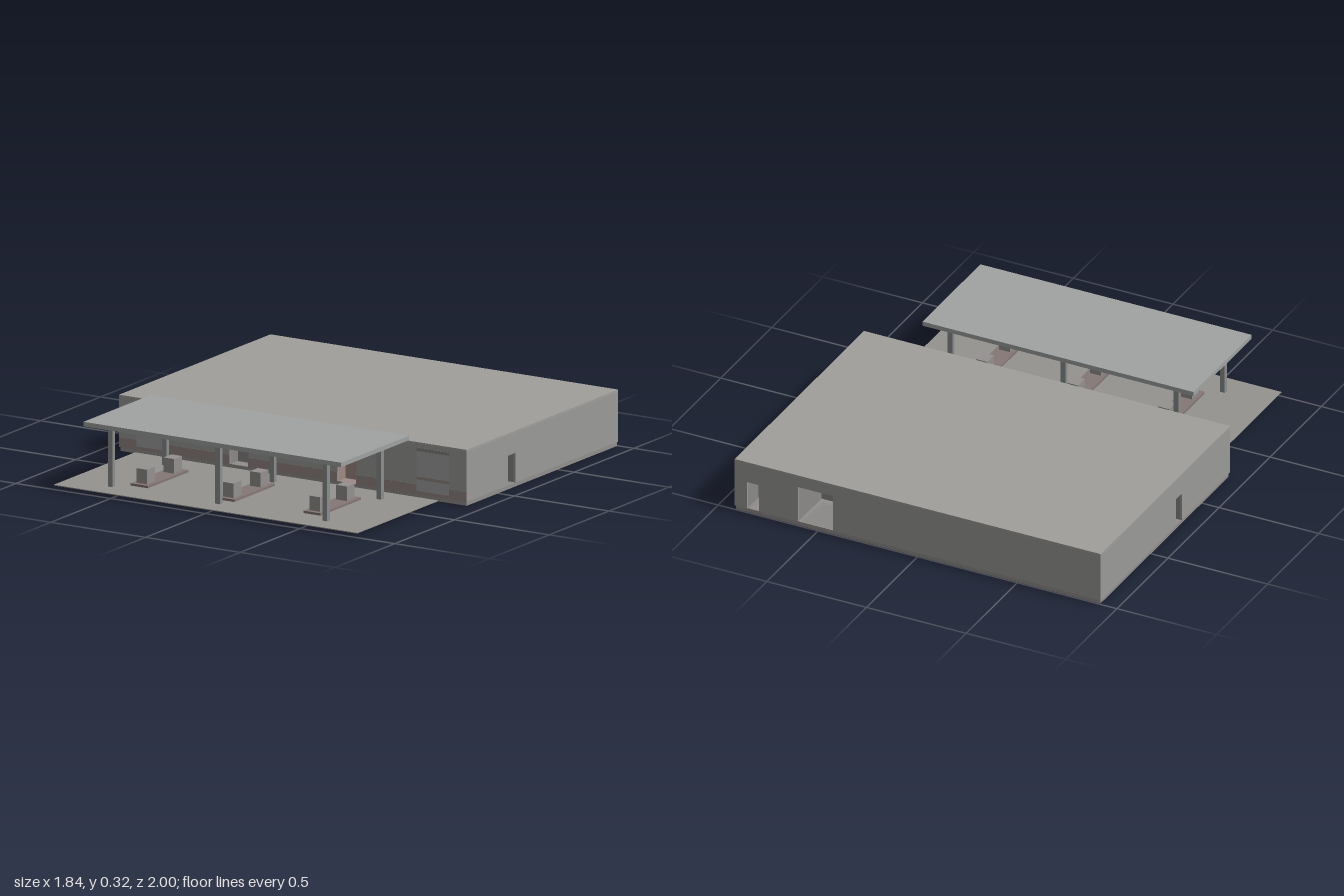
import * as THREE from 'three';

const paint = (color, side = THREE.FrontSide) => new THREE.MeshStandardMaterial({ color, flatShading: true, side });
const roofMat = paint(0xa09f9b);
const wallMat = paint(0x9a9a99);
const alcoveMat = paint(0x8a8987, THREE.DoubleSide);
const redAlcoveMat = paint(0xa08a86, THREE.DoubleSide);
const skirtMat = paint(0x968684);
const windowMat = paint(0xa3a3a2);
const trimMat = paint(0x868483);
const slabMat = paint(0x928f8e);
const pavementMat = paint(0x95938f);
const canopyMat = paint(0xa0a3a2);
const postMat = paint(0x8c8d8d);
const islandMat = paint(0x857876);
const pumpMat = paint(0x949190);

// box given by its limits on each axis
function box(parent, name, mat, [x0, x1], [y0, y1], [z0, z1]) {
  const m = new THREE.Mesh(new THREE.BoxGeometry(x1 - x0, y1 - y0, z1 - z0), mat);
  m.position.set((x0 + x1) / 2, (y0 + y1) / 2, (z0 + z1) / 2);
  m.name = name;
  parent.add(m);
}

const FLOOR = 0.02, ROOF = 0.26, THICK = 0.01;

// wall facing local +z, with doorways cut up from the floor: [x0, x1, top, depth, material]
function wall(name, halfWidth, doors) {
  const g = new THREE.Group();
  g.name = name;
  const s = new THREE.Shape();
  s.moveTo(-halfWidth, FLOOR);
  for (const [x0, x1, top] of doors) {
    s.lineTo(x0, FLOOR);
    s.lineTo(x0, top);
    s.lineTo(x1, top);
    s.lineTo(x1, FLOOR);
  }
  s.lineTo(halfWidth, FLOOR);
  s.lineTo(halfWidth, ROOF - THICK);
  s.lineTo(-halfWidth, ROOF - THICK);
  const panel = new THREE.Mesh(new THREE.ExtrudeGeometry(s, { depth: THICK, bevelEnabled: false }), wallMat);
  panel.position.z = -THICK;
  panel.name = name + 'Panel';
  g.add(panel);

  // alcove behind each doorway: a box without its outward face
  for (const [x0, x1, top, depth, mat = alcoveMat] of doors) {
    const geo = new THREE.BoxGeometry(x1 - x0, top - FLOOR, depth);
    const idx = Array.from(geo.index.array);
    idx.splice(24, 6);
    geo.setIndex(idx);
    geo.clearGroups();
    const alcove = new THREE.Mesh(geo, mat);
    alcove.position.set((x0 + x1) / 2, (top + FLOOR) / 2, -THICK - depth / 2);
    alcove.name = 'doorAlcove';
    g.add(alcove);
  }
  return g;
}

function createBuilding() {
  const g = new THREE.Group();
  g.name = 'building';
  const hx = 0.918, z0 = -0.999, z1 = 0.268, zc = (z0 + z1) / 2, hz = (z1 - z0) / 2;
  box(g, 'floorSlab', slabMat, [-0.914, 0.914], [0, FLOOR], [z0 + 0.004, z1 - 0.006]);
  box(g, 'roof', roofMat, [-hx, hx], [ROOF - THICK, ROOF], [z0, z1]);

  const front = wall('frontWall', hx, [
    [-0.335, -0.235, 0.157, 0.06],
    [0.235, 0.335, 0.157, 0.06, redAlcoveMat],
  ]);
  front.position.z = z1;
  // low header inside one entrance
  box(front, 'doorHeader', wallMat, [0.235, 0.335], [0.145, 0.157], [-0.06, -0.04]);
  // reddish skirting between the entrances
  for (const span of [[-hx, -0.335], [-0.235, 0.235], [0.335, hx]]) {
    box(front, 'wallSkirting', skirtMat, span, [FLOOR, 0.065], [-0.001, 0.001]);
  }
  // shop window panels with a dark header and a sill
  for (const span of [[-0.825, -0.655], [0.655, 0.825]]) {
    box(front, 'windowPanel', windowMat, span, [0.035, 0.225], [-0.001, 0.0015]);
    box(front, 'windowHeader', trimMat, span, [0.22, 0.235], [-0.001, 0.002]);
    box(front, 'windowSill', skirtMat, span, [0.088, 0.102], [-0.001, 0.002]);
  }

  // service bay and staff door at the back
  const back = wall('backWall', hx, [[-0.855, -0.795, 0.157, 0.1], [-0.6, -0.425, 0.2, 0.22]]);
  back.rotation.y = Math.PI;
  back.position.z = z0;

  const side = hz - THICK;
  const left = wall('leftWall', side, [[0.078 + zc, 0.14 + zc, 0.157, 0.1]]);
  left.rotation.y = Math.PI / 2;
  left.position.set(hx, 0, zc);

  const right = wall('rightWall', side, [[-0.26 - zc, -0.205 - zc, 0.157, 0.1]]);
  right.rotation.y = -Math.PI / 2;
  right.position.set(-hx, 0, zc);

  g.add(front, back, left, right);
  return g;
}

function createForecourt() {
  const g = new THREE.Group();
  g.name = 'forecourt';
  box(g, 'pavement', pavementMat, [-0.8, 0.8], [0.018, 0.022], [0.32, 1]);
  box(g, 'canopyRoof', canopyMat, [-0.68, 0.68], [0.295, 0.316], [0.375, 0.942]);

  for (const i of [-1, 0, 1]) {
    // two posts per bay
    const px = i * 0.567;
    for (const z of [0.435, 0.887]) {
      box(g, 'canopyPost', postMat, [px - 0.012, px + 0.012], [0.02, 0.296], [z - 0.011, z + 0.011]);
    }
    // raised island carrying two pumps
    const x = i * 0.456;
    box(g, 'pumpIsland', islandMat, [x - 0.046, x + 0.046], [0.02, 0.033], [0.492, 0.83]);
    for (const z of [0.55, 0.775]) {
      box(g, 'pump', pumpMat, [x - 0.028, x + 0.028], [0.033, 0.1], [z - 0.033, z + 0.033]);
    }
  }
  return g;
}

export function createModel() {
  const model = new THREE.Group();
  model.name = 'fillingStation';
  model.add(createBuilding(), createForecourt());
  return model;
}
